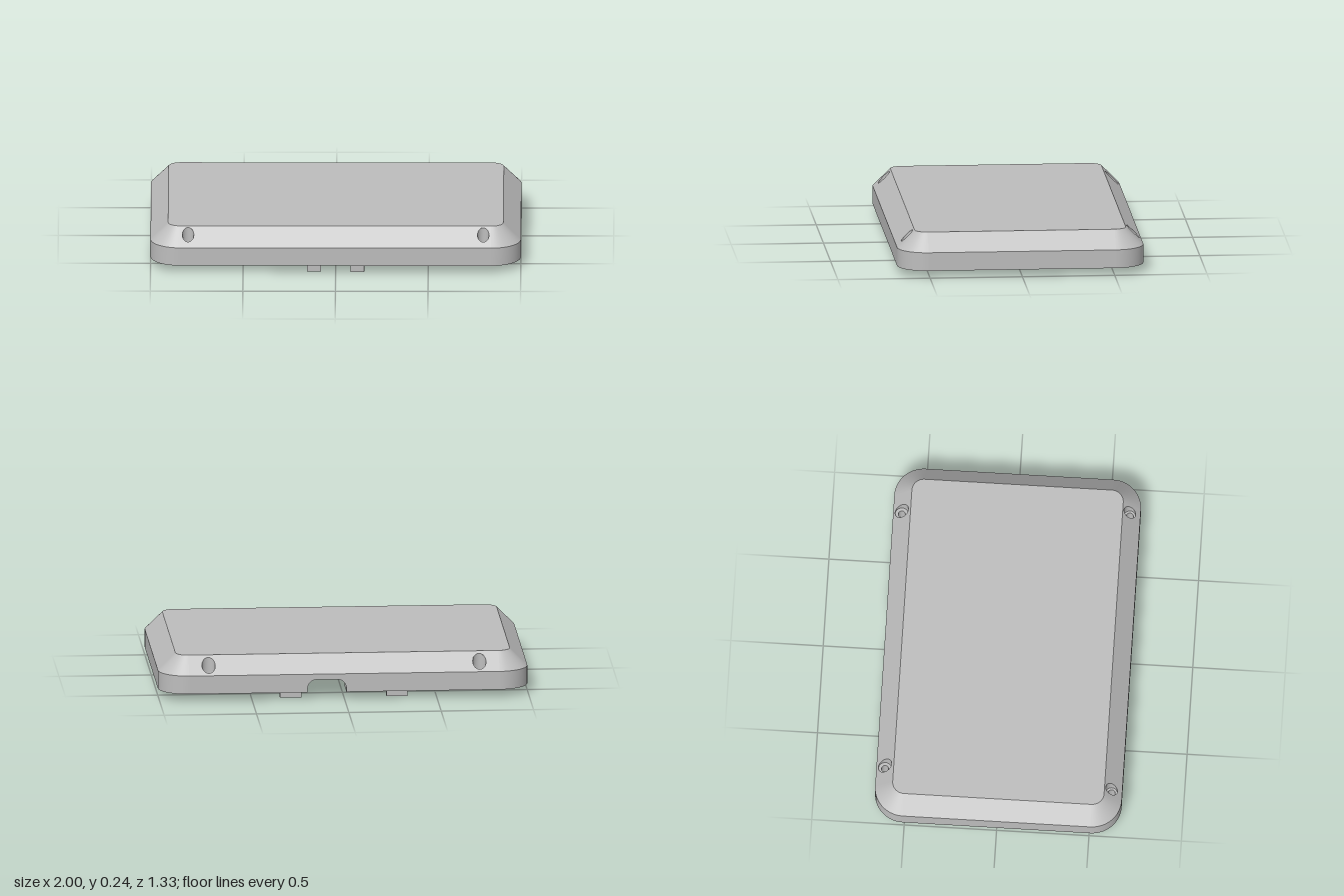
import * as THREE from 'three';
import { mergeGeometries } from 'three/addons/utils/BufferGeometryUtils.js';

const W = 1, D = 0.667, R = 0.16;                 // half width, half depth, corner radius
const Y0 = 0.04, Y1 = 0.14, BEVEL = 0.095, Y2 = Y1 + BEVEL, CEIL = 0.2;
const CX = 0.865, CZ = 0.5;                       // cavity half sizes
const NOTCH = { x: 0.095, half: 0.105, height: 0.07, r: 0.05 };
const HOLES = [                                   // screw holes: x, z, counterbore radius
  [0.733, -0.62, 0.036], [-0.733, -0.62, 0.036],
  [0.797, 0.61, 0.031], [-0.797, 0.61, 0.031],
];
const BORE = 0.019, SEAT = 0.135;

const V2 = (x, y) => new THREE.Vector2(x, y);
const V3 = (x, y, z) => new THREE.Vector3(x, y, z);
const slope = (x, z) => Y1 + Math.min(W - Math.abs(x), D - Math.abs(z));

// Points of one rounded corner (quadrant k) in plan
function corner(k, r, n = 14) {
  const mid = (k + 0.5) * Math.PI / 2;
  const cx = Math.sign(Math.cos(mid)) * (W - R), cy = Math.sign(Math.sin(mid)) * (D - R);
  return Array.from({ length: n + 1 }, (_, i) => {
    const a = (k + i / n) * Math.PI / 2;
    return V2(cx + r * Math.cos(a), cy + r * Math.sin(a));
  });
}

// Quad strip between two point rows
function strip(a, b) {
  const g = new THREE.BufferGeometry().setFromPoints([...a, ...b]);
  const n = a.length, index = [];
  for (let i = 0; i < n - 1; i++) index.push(i, i + 1, n + i + 1, i, n + i + 1, n + i);
  g.setIndex(index);
  g.computeVertexNormals();
  return g;
}

function flat(points, holes = []) {
  const s = new THREE.Shape(points);
  for (const [x, y, r] of holes) s.holes.push(new THREE.Path().absarc(x, y, r, 0, Math.PI * 2, true));
  const g = new THREE.ShapeGeometry(s, 20);
  g.deleteAttribute('uv');
  return g;
}

const rect = (x0, y0, x1, y1) => [V2(x0, y0), V2(x1, y0), V2(x1, y1), V2(x0, y1)];

// Upright outline of the cable notch, left to right
function notchProfile(cx) {
  const { half, height, r } = NOTCH, pts = [V2(cx - half, Y0)];
  for (const [c, start] of [[cx - half + r, Math.PI], [cx + half - r, Math.PI / 2]])
    for (let i = 0; i <= 8; i++) {
      const a = start - i / 8 * Math.PI / 2;
      pts.push(V2(c + r * Math.cos(a), Y0 + height - r + r * Math.sin(a)));
    }
  pts.push(V2(cx + half, Y0));
  return pts;
}

const notchedPanel = (halfX, top, cx) =>
  flat([V2(-halfX, Y0), ...notchProfile(cx), V2(halfX, Y0), V2(halfX, top), V2(-halfX, top)]);

export function createModel() {
  const group = new THREE.Group();
  const grey = new THREE.MeshStandardMaterial({ color: 0xbdbdbd, side: THREE.DoubleSide });
  grey.name = 'grey plastic';
  const add = (name, ...geos) => {
    const mesh = new THREE.Mesh(geos.length > 1 ? mergeGeometries(geos) : geos[0], grey);
    mesh.name = name;
    group.add(mesh);
    return mesh;
  };
  const quads = [0, 1, 2, 3];
  const lift = (pts, y) => pts.map(p => V3(p.x, y, -p.y));

  // Top plate
  add('topPlate', flat(quads.flatMap(k => corner(k, R - BEVEL))).rotateX(-Math.PI / 2).translate(0, Y2, 0));

  // Sloped bevel: four flat panels, pierced front and back, and conical corners
  const bevelPanel = (x0, z0, x1, z1) => {
    const holes = HOLES.filter(([x, z]) => x > x0 && x < x1 && z > z0 && z < z1).map(([x, z, r]) => [x, -z, r]);
    const g = flat(rect(x0, -z1, x1, -z0), holes).rotateX(-Math.PI / 2);
    const p = g.attributes.position;
    for (let i = 0; i < p.count; i++) p.setY(i, slope(p.getX(i), p.getZ(i)));
    g.computeVertexNormals();
    return g;
  };
  const sx = W - R, sz = D - R;
  add('slopedBevel',
    bevelPanel(-sx, D - BEVEL, sx, D), bevelPanel(-sx, -D, sx, -D + BEVEL),
    bevelPanel(W - BEVEL, -sz, W, sz), bevelPanel(-W, -sz, -W + BEVEL, sz),
    ...quads.map(k => strip(lift(corner(k, R), Y1), lift(corner(k, R - BEVEL), Y2))));

  // Outer walls, with the cable notch cut into the back
  const wall = (a, b) => strip([V3(a[0], Y0, a[1]), V3(b[0], Y0, b[1])], [V3(a[0], Y1, a[1]), V3(b[0], Y1, b[1])]);
  add('outerWall',
    wall([-sx, D], [sx, D]), wall([W, sz], [W, -sz]), wall([-W, -sz], [-W, sz]),
    notchedPanel(sx, Y1, -NOTCH.x).rotateY(Math.PI).translate(0, 0, -D),
    ...quads.map(k => strip(lift(corner(k, R), Y0), lift(corner(k, R), Y1))));

  // Underside rim around the cavity, open at the notch
  const n0 = NOTCH.x - NOTCH.half, n1 = NOTCH.x + NOTCH.half;
  const rim = [V2(n1, -D), ...[3, 0, 1, 2].flatMap(k => corner(k, R)), V2(n0, -D), V2(n0, -CZ),
    V2(-CX, -CZ), V2(-CX, CZ), V2(CX, CZ), V2(CX, -CZ), V2(n1, -CZ)];
  add('bottomRim', flat(rim, HOLES.map(([x, z]) => [x, z, BORE])).rotateX(Math.PI / 2).translate(0, Y0, 0));

  // Hollow inside
  const inner = (a, b) => strip([V3(a[0], Y0, a[1]), V3(b[0], Y0, b[1])], [V3(a[0], CEIL, a[1]), V3(b[0], CEIL, b[1])]);
  add('cavity',
    flat(rect(-CX, -CZ, CX, CZ)).rotateX(Math.PI / 2).translate(0, CEIL, 0),
    inner([CX, CZ], [-CX, CZ]), inner([CX, -CZ], [CX, CZ]), inner([-CX, CZ], [-CX, -CZ]),
    notchedPanel(CX, CEIL, NOTCH.x).translate(0, 0, -CZ));

  // Channel of the cable notch
  const profile = notchProfile(NOTCH.x);
  add('cableNotch', strip(profile.map(p => V3(p.x, p.y, -D)), profile.map(p => V3(p.x, p.y, -CZ))));

  // Counterbored screw holes
  for (const [x, z, r] of HOLES) {
    const ring = (rad, y) => Array.from({ length: 29 }, (_, i) => {
      const a = i / 28 * Math.PI * 2, px = x + rad * Math.cos(a), pz = z - rad * Math.sin(a);
      return V3(px, y ?? slope(px, pz), pz);
    });
    add('screwHole',
      strip(ring(r), ring(r, SEAT)),
      strip(ring(r, SEAT), ring(BORE, SEAT)),
      strip(ring(BORE, SEAT), ring(BORE, Y0)));
  }

  // Locating tabs under the rim: narrow in front, wide at the back
  for (const side of [-1, 1]) {
    add('frontTab', new THREE.BoxGeometry(0.075, Y0 + 0.005, 0.022)).position.set(side * 0.117, (Y0 + 0.005) / 2, 0.637);
    add('backTab', new THREE.BoxGeometry(0.115, Y0 + 0.005, 0.025)).position.set(side * 0.288, (Y0 + 0.005) / 2, -0.597);
  }
  return group;
}
